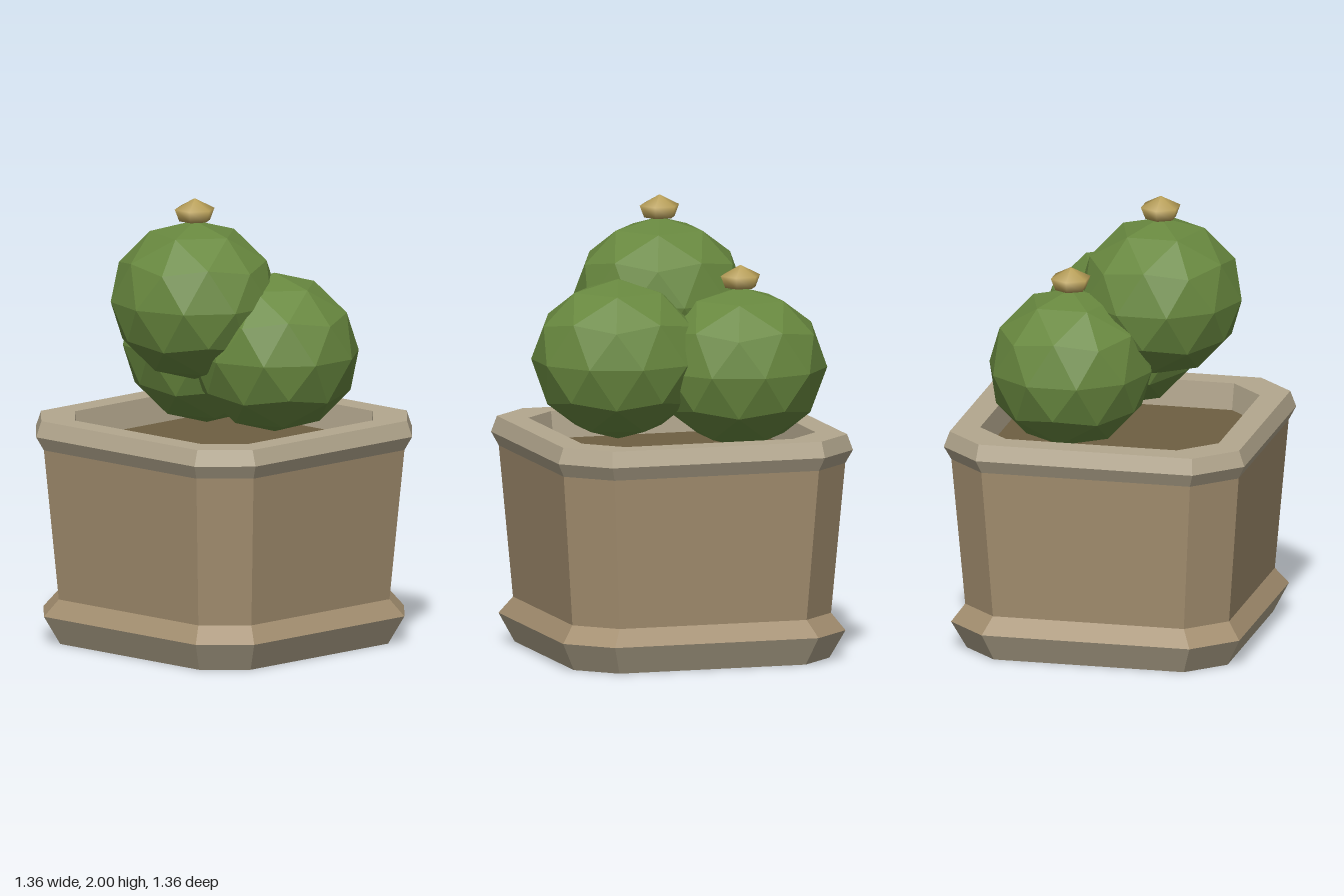
import * as THREE from 'three';

const mat = (name, color, flatShading = false) => {
  const m = new THREE.MeshStandardMaterial({ color, flatShading });
  m.name = name;
  return m;
};

// Square with cut corners: half width w, corner cut starts at c
const ring = ([y, w, c]) =>
  [[w, c], [c, w], [-c, w], [-w, c], [-w, -c], [-c, -w], [c, -w], [w, -c]].map(([x, z]) => [x, y, z]);

// Flat-faced skin through a stack of rings, ordered from the outside bottom upwards
function skin(profile) {
  const pos = [];
  for (let i = 0; i < profile.length - 1; i++) {
    const lo = ring(profile[i]), hi = ring(profile[i + 1]);
    for (let k = 0; k < 8; k++) {
      const n = (k + 1) % 8;
      if (profile[i][1] > 0) pos.push(...lo[n], ...lo[k], ...hi[k]);
      if (profile[i + 1][1] > 0) pos.push(...lo[n], ...hi[k], ...hi[n]);
      else if (profile[i][1] === 0) pos.push(...lo[n], ...hi[k], ...hi[n]);
    }
  }
  // A ring of zero width still needs the triangle fan on its other side
  if (profile[0][1] === 0) {
    const first = ring(profile[1]), y = profile[0][0];
    for (let k = 0; k < 8; k++) pos.push(0, y, 0, ...first[k], ...first[(k + 1) % 8]);
  }
  const g = new THREE.BufferGeometry();
  g.setAttribute('position', new THREE.Float32BufferAttribute(pos, 3));
  g.computeVertexNormals();
  return g;
}

export function createModel() {
  const model = new THREE.Group();
  model.name = 'pottedCactus';

  const trim = mat('trimStone', 0xb3a78e, true);
  const clay = mat('clay', 0xa48f70, true);
  const earth = mat('soil', 0x6e5f42, true);
  const green = mat('cactusGreen', 0x68883f, true);
  const yellow = mat('budYellow', 0xb89f58);

  const add = (name, geometry, material, parent = model) => {
    const mesh = new THREE.Mesh(geometry, material);
    mesh.name = name;
    parent.add(mesh);
    return mesh;
  };

  // Pot
  const under = new THREE.Shape(ring([0, 0.59, 0.43]).map(([x, , z]) => new THREE.Vector2(x, z)));
  add('potBottom', new THREE.ShapeGeometry(under).rotateX(Math.PI / 2), trim);
  add('footTrim', skin([[0, 0.59, 0.43], [0.125, 0.652, 0.47]]), trim);
  add('potBody', skin([[0.125, 0.652, 0.47], [0.2, 0.597, 0.432], [0.87, 0.65, 0.472]]), clay);
  add('rim', skin([
    [0.87, 0.65, 0.472], [0.93, 0.68, 0.49], [1, 0.655, 0.483],
    [1, 0.54, 0.387], [0.88, 0.53, 0.38],
  ]), trim);

  // Soil
  const bed = new THREE.Shape(ring([0, 0.535, 0.384]).map(([x, , z]) => new THREE.Vector2(x, z)));
  add('soil', new THREE.ShapeGeometry(bed).rotateX(-Math.PI / 2).translate(0, 0.88, 0), earth);

  // Faceted ball with a corner at the pole, slightly squashed
  const ball = new THREE.IcosahedronGeometry(1, 1)
    .rotateZ(-Math.atan(2 / (1 + Math.sqrt(5))))
    .scale(0.384, 0.355, 0.367);

  // Six-sided bud
  const bud = new THREE.LatheGeometry(
    [[0, 0.355], [0.07, 0.355], [0.091, 0.408], [0, 0.455]].map(p => new THREE.Vector2(...p)),
    6, Math.PI / 2);

  // Cactus balls: name, position, has a bud
  for (const [name, p, hasBud] of [
    ['frontBall', [0, 1.545, 0.184], true],
    ['rightBall', [-0.265, 1.27, -0.16], true],
    ['leftBall', [0.265, 1.315, -0.05], false],
  ]) {
    const g = new THREE.Group();
    g.name = name;
    g.position.set(...p);
    add('cactusBall', ball, green, g);
    if (hasBud) add('bud', bud, yellow, g);
    model.add(g);
  }
  return model;
}
